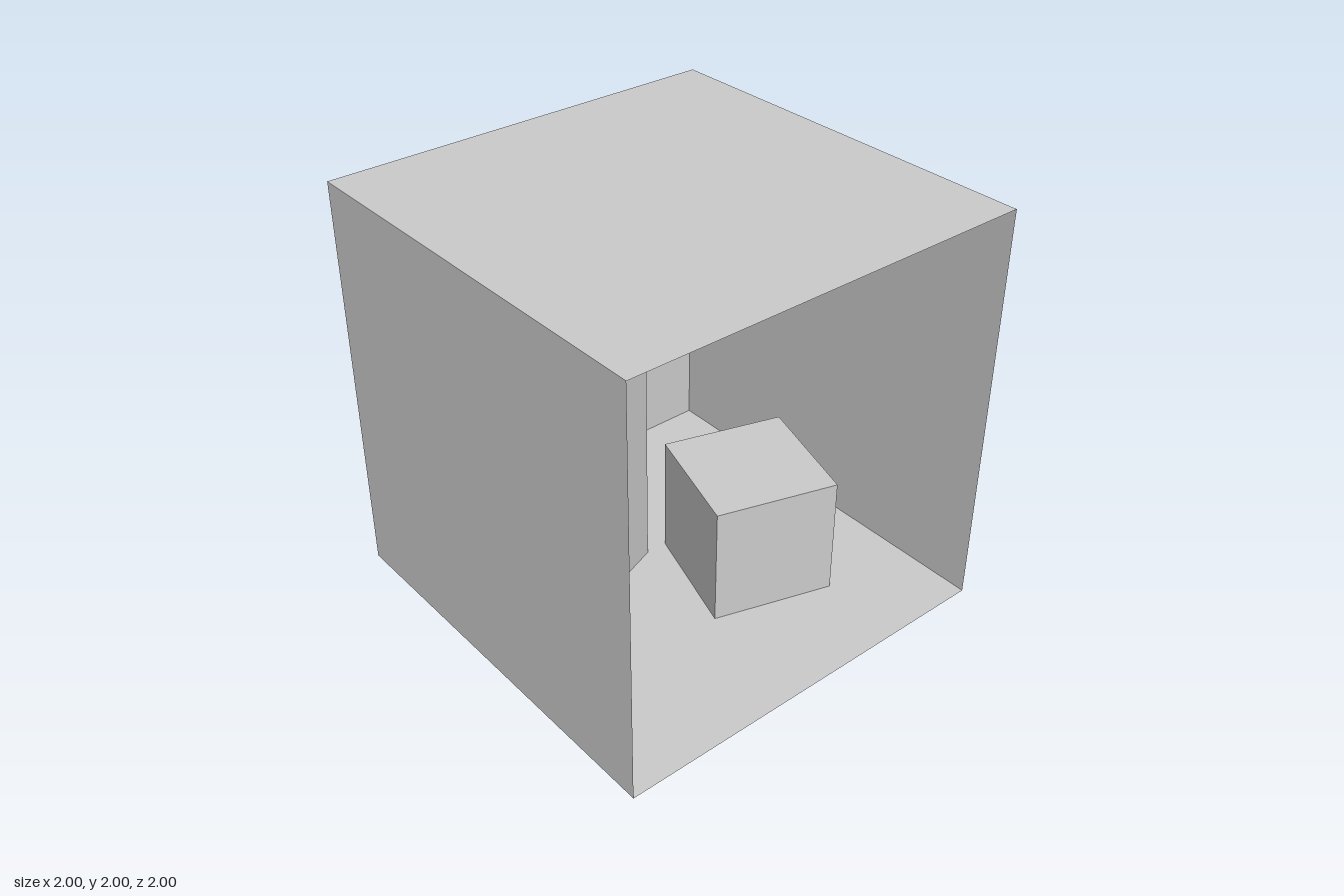
import * as THREE from 'three';

const grey = new THREE.MeshStandardMaterial({ color: 0xcccccc, flatShading: true });
const wallGrey = new THREE.MeshStandardMaterial({ color: 0xcccccc, flatShading: true, side: THREE.DoubleSide });

const SIZE = 2;
const H = SIZE / 2;

// Thin room panel, its face turned towards the inside of the room
function panel(name, position, rotX, rotY) {
  const mesh = new THREE.Mesh(new THREE.PlaneGeometry(SIZE, SIZE), wallGrey);
  mesh.name = name;
  mesh.position.set(...position);
  mesh.rotation.set(rotX, rotY, 0);
  return mesh;
}

// Square block standing on the floor, turned about the vertical
function block(name, x, z, height, degrees) {
  const mesh = new THREE.Mesh(new THREE.BoxGeometry(0.6, height, 0.6), grey);
  mesh.name = name;
  mesh.position.set(x, height / 2, z);
  mesh.rotation.y = THREE.MathUtils.degToRad(degrees);
  return mesh;
}

export function createModel() {
  const model = new THREE.Group();
  model.name = 'openRoom';

  // Room shell, open at the front
  const room = new THREE.Group();
  room.name = 'room';
  room.add(
    panel('floor', [0, 0, 0], -Math.PI / 2, 0),
    panel('ceiling', [0, SIZE, 0], Math.PI / 2, 0),
    panel('backWall', [0, H, -H], 0, 0),
    panel('leftWall', [H, H, 0], 0, -Math.PI / 2),
    panel('rightWall', [-H, H, 0], 0, Math.PI / 2)
  );

  // The two blocks inside
  model.add(
    room,
    block('tallBlock', -0.353, -0.355, 1.2, 20),
    block('shortBlock', 0.339, 0.2, 0.6, -17)
  );
  return model;
}
